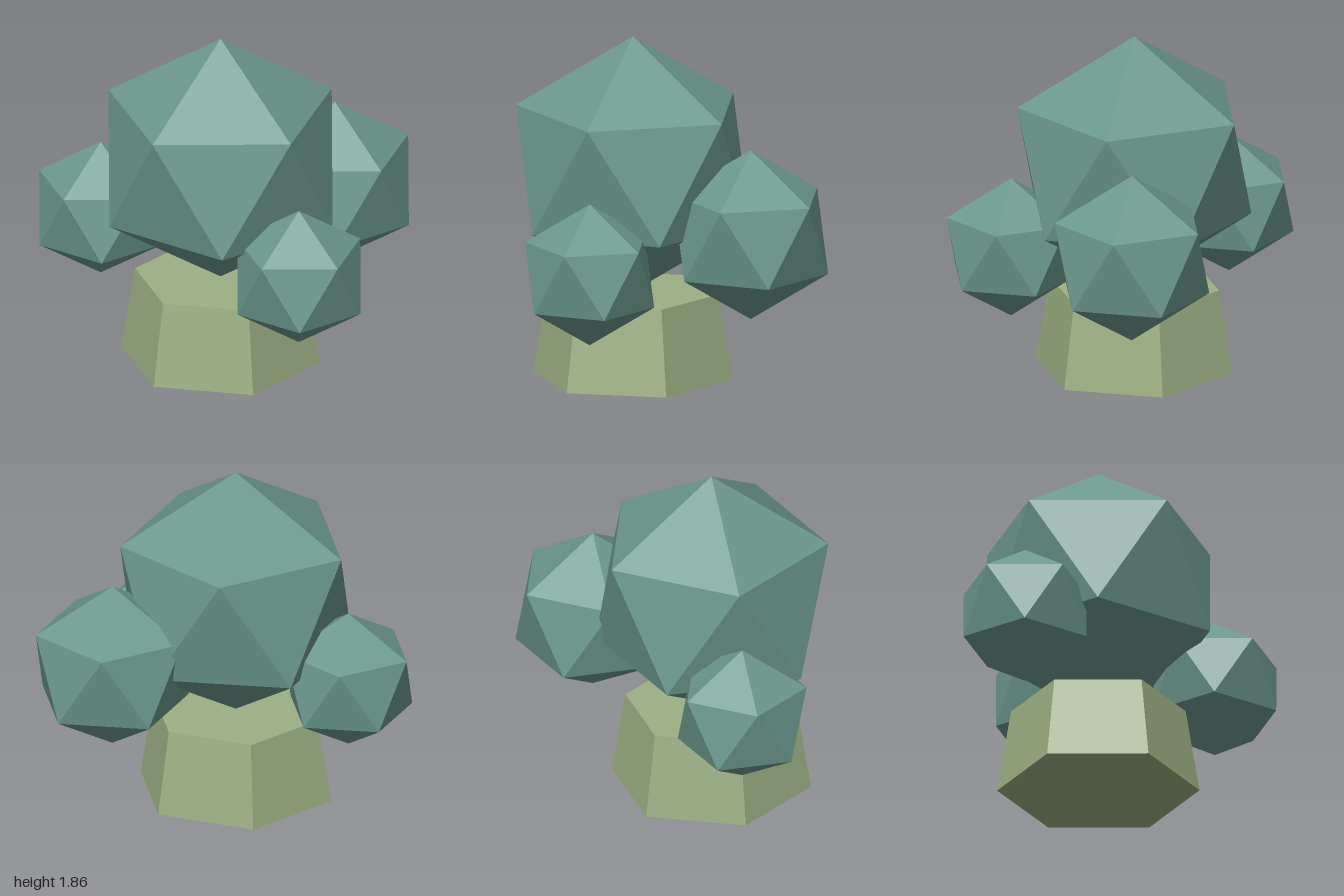
import * as THREE from 'three';

const foliageMaterial = new THREE.MeshStandardMaterial({ name: 'foliage green', color: 0x6b978c, flatShading: true });
const trunkMaterial = new THREE.MeshStandardMaterial({ name: 'trunk olive', color: 0x9cb083, flatShading: true });

// Foliage clumps: name, radius, centre
const CLUMPS = [
  ['crown', 0.7, [-0.113, 1.16, -0.117]],
  ['leftClump', 0.463, [0.583, 0.853, -0.273]],
  ['rightClump', 0.385, [-0.656, 0.778, -0.505]],
  ['frontClump', 0.386, [0.118, 0.7, 0.503]],
];

// Icosahedron standing on a corner, with an upper-ring corner towards +x
function clumpGeometry(radius) {
  const geometry = new THREE.IcosahedronGeometry(radius, 0);
  geometry.rotateX(-Math.atan((1 + Math.sqrt(5)) / 2));
  geometry.rotateY(Math.PI / 2);
  return geometry;
}

export function createModel() {
  const group = new THREE.Group();
  group.name = 'tree';

  // Tapered six-sided trunk
  const height = 0.465;
  const trunk = new THREE.Mesh(new THREE.CylinderGeometry(0.466, 0.54, height, 6), trunkMaterial);
  trunk.name = 'trunk';
  trunk.position.set(-0.113, height / 2, -0.117);
  group.add(trunk);

  // Foliage
  for (const [name, radius, centre] of CLUMPS) {
    const clump = new THREE.Mesh(clumpGeometry(radius), foliageMaterial);
    clump.name = name;
    clump.position.set(...centre);
    group.add(clump);
  }
  return group;
}
